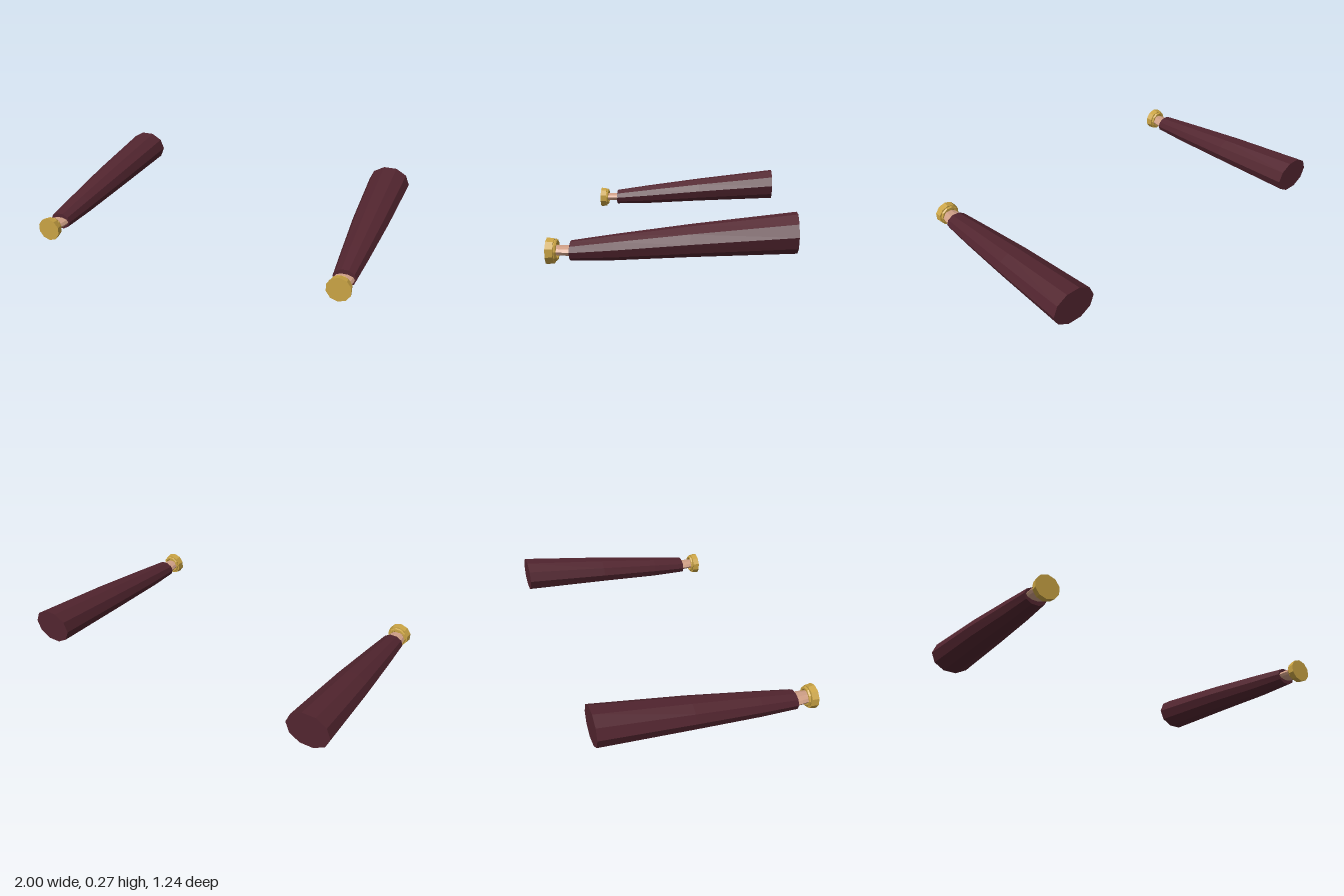
import * as THREE from 'three';

const flat = (name, color) => {
  const m = new THREE.MeshStandardMaterial({ color, flatShading: true });
  m.name = name;
  return m;
};

// Closed ten-sided tube along z through elliptical rings [z, centreY, radiusX, radiusY], back to front.
function loft(rings, cornerAtSide) {
  const n = rings.length - 1;
  const g = new THREE.CylinderGeometry(1, 1, 1, 10, n);
  if (cornerAtSide) g.rotateY(Math.PI / 2);
  g.rotateX(Math.PI / 2);
  const p = g.attributes.position;
  for (let i = 0; i < p.count; i++) {
    const [z, cy, rx, ry] = rings[Math.round((p.getZ(i) + 0.5) * n)];
    p.setXYZ(i, p.getX(i) * rx, cy + p.getY(i) * ry, z);
  }
  g.computeVertexNormals();
  return g;
}

export function createModel() {
  const model = new THREE.Group();
  model.name = 'armPair';
  const cloth = flat('maroon cloth', 0x52252f);
  const skin = flat('skin', 0xcf9f86);
  const gold = flat('gold', 0xc9a344);

  // Tapering sleeve, sloping down towards the wrist
  const sleeve = loft([
    [-0.62, 0.177, 0.126, 0.102],
    [-0.1, 0.132, 0.105, 0.081],
    [0.28, 0.094, 0.08, 0.065],
    [0.5, 0.0745, 0.064, 0.05],
  ], true);

  // Flattened wrist
  const wrist = loft([
    [0.49, 0.074, 0.056, 0.025],
    [0.53, 0.074, 0.054, 0.025],
    [0.59, 0.074, 0.046, 0.025],
  ], true);

  // Collar ring and flared end cap
  const collar = new THREE.TorusGeometry(0.048, 0.01, 6, 10);
  collar.translate(0, 0.075, 0.576);
  const cap = loft([
    [0.582, 0.071, 0.064, 0.064],
    [0.62, 0.071, 0.069, 0.069],
  ], false);

  for (const [side, x] of [['left', 0.873], ['right', -0.873]]) {
    const arm = new THREE.Group();
    arm.name = side + 'Arm';
    arm.position.x = x;
    for (const [name, geo, mat] of [
      ['Sleeve', sleeve, cloth],
      ['Wrist', wrist, skin],
      ['Collar', collar, gold],
      ['EndCap', cap, gold],
    ]) {
      const mesh = new THREE.Mesh(geo, mat);
      mesh.name = side + name;
      arm.add(mesh);
    }
    model.add(arm);
  }
  return model;
}
